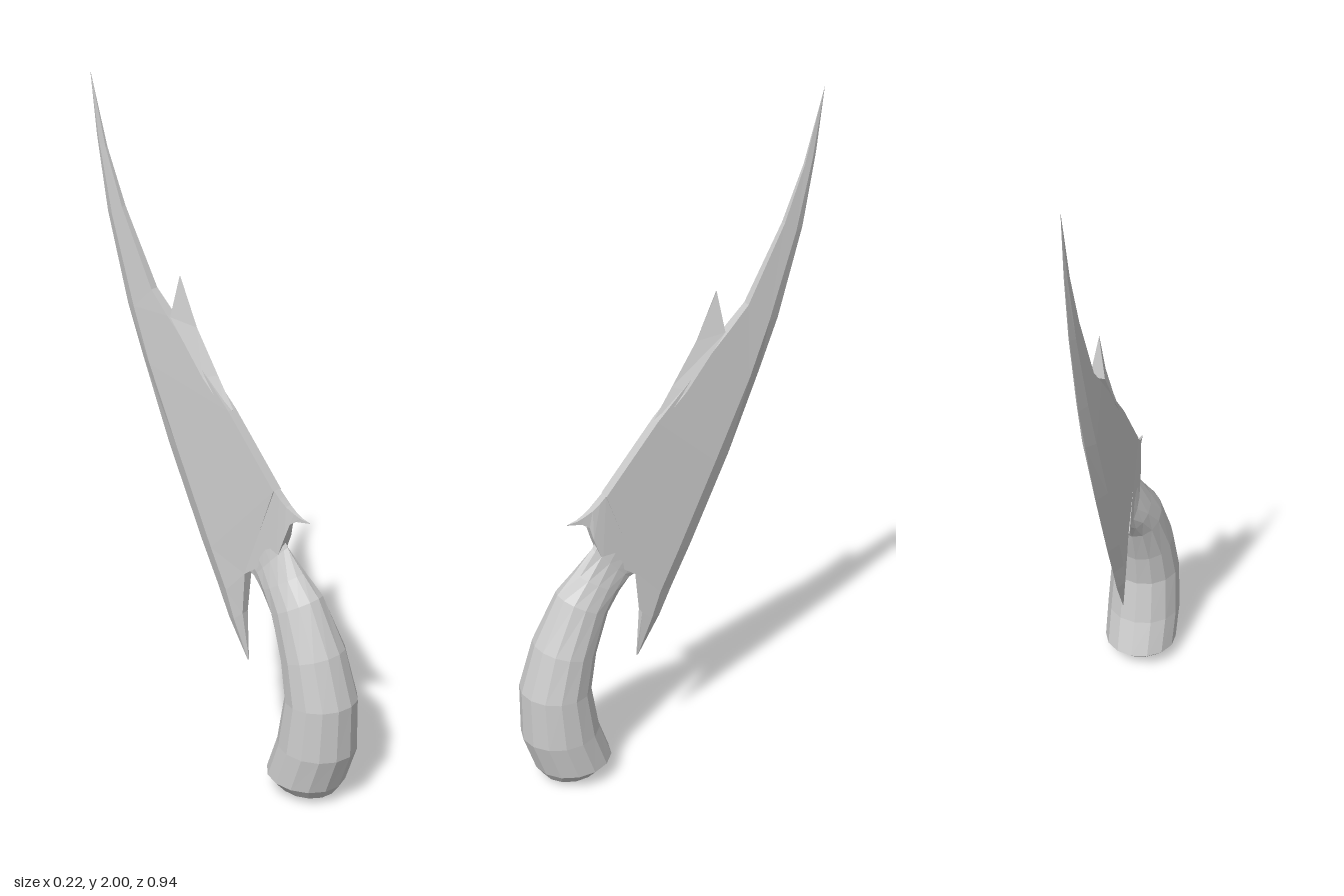
import * as THREE from 'three';

const material = new THREE.MeshStandardMaterial({ color: 0xcccccc, flatShading: true });

// Skin a list of equal-length closed sections, close both ends, face outwards.
function loft(name, sections) {
  const n = sections[0].length;
  const points = sections.flat();
  const faces = [];
  for (let s = 0; s < sections.length - 1; s++) {
    for (let i = 0; i < n; i++) {
      const a = s * n + i, b = s * n + (i + 1) % n;
      faces.push([a, b, b + n], [a, b + n, a + n]);
    }
  }
  const last = (sections.length - 1) * n;
  for (let i = 1; i < n - 1; i++) {
    faces.push([0, i + 1, i], [last, last + i, last + i + 1]);
  }
  // A negative enclosed volume means the winding runs inwards.
  let volume = 0;
  const cross = new THREE.Vector3();
  for (const [a, b, c] of faces) volume += points[a].dot(cross.crossVectors(points[b], points[c]));
  if (volume < 0) faces.forEach((f) => f.reverse());

  const geometry = new THREE.BufferGeometry().setFromPoints(points);
  geometry.setIndex(faces.flat());
  const flat = geometry.toNonIndexed();
  flat.computeVertexNormals();
  const mesh = new THREE.Mesh(flat, material);
  mesh.name = name;
  return mesh;
}

const P = (x, [z, y]) => new THREE.Vector3(x, y, z);

// Curved grip: oval rings spanning [front z,y] to [back z,y] with a half width.
function createGrip() {
  const rings = [
    [[0.365, 0.0], [0.29, 0.008], 0.04],
    [[0.41, 0.018], [0.235, 0.03], 0.085],
    [[0.433, 0.05], [0.2, 0.062], 0.112],
    [[0.47, 0.16], [0.237, 0.17], 0.114],
    [[0.47, 0.32], [0.26, 0.31], 0.106],
    [[0.425, 0.47], [0.242, 0.42], 0.094],
    [[0.35, 0.62], [0.2, 0.54], 0.07],
    [[0.295, 0.68], [0.16, 0.595], 0.048],
    [[0.24, 0.745], [0.125, 0.625], 0.024],
    [[0.21, 0.8], [0.1, 0.635], 0.016],
  ];
  const sides = 14;
  return loft('grip', rings.map(([front, back, w]) =>
    Array.from({ length: sides }, (_, i) => {
      const a = (i / sides) * Math.PI * 2;
      const t = (1 - Math.cos(a)) / 2;
      return P(w * Math.sin(a), [
        front[0] + (back[0] - front[0]) * t,
        front[1] + (back[1] - front[1]) * t,
      ]);
    })));
}

// Blade: [spine, bevel line, cutting edge, half thickness], tip to heel.
function createBlade() {
  const rows = [
    [[-0.465, 2.0], [-0.465, 2.0], [-0.465, 2.0], 0],
    [[-0.41, 1.79], [-0.432, 1.8], [-0.445, 1.82], 0.005],
    [[-0.35, 1.63], [-0.385, 1.6], [-0.41, 1.61], 0.01],
    [[-0.24, 1.41], [-0.305, 1.35], [-0.34, 1.35], 0.016],
    [[-0.18, 1.345], [-0.245, 1.19], [-0.285, 1.2], 0.02],
    [[0.04, 1.11], [-0.14, 0.95], [-0.19, 0.955], 0.021],
    [[0.2, 0.91], [-0.02, 0.68], [-0.07, 0.685], 0.021],
    [[0.1, 0.63], [0.035, 0.56], [-0.01, 0.56], 0.02],
    [[0.09, 0.5], [0.06, 0.475], [0.03, 0.47], 0.015],
    [[0.105, 0.35], [0.1, 0.35], [0.095, 0.358], 0],
  ];
  return loft('blade', rows.map(([spine, bevel, edge, w]) =>
    [P(w * 0.8, spine), P(w, bevel), P(0, edge), P(-w, bevel), P(-w * 0.8, spine)]));
}

// Guard: slab between blade and grip that narrows into a forward hook.
function createGuard() {
  const rows = [
    [[0.2, 0.91], [0.1, 0.63], 0.019],
    [[0.218, 0.892], [0.215, 0.71], 0.019],
    [[0.24, 0.872], [0.24, 0.78], 0.016],
    [[0.265, 0.856], [0.25, 0.82], 0.01],
    [[0.285, 0.846], [0.272, 0.834], 0.006],
    [[0.315, 0.84], [0.315, 0.838], 0],
  ];
  return loft('guard', rows.map(([top, bottom, w]) =>
    [P(w * 0.7, top), P(w, bottom), P(-w, bottom), P(-w * 0.7, top)]));
}

// Barb: ridge rising off the spine to a free point above a notch.
function createSpineBarb() {
  const rows = [
    [[0.045, 1.11], [0.03, 1.1], 0.014],
    [[-0.01, 1.2], [-0.05, 1.19], 0.02],
    [[-0.085, 1.325], [-0.165, 1.345], 0.021],
    [[-0.145, 1.465], [-0.147, 1.463], 0],
  ];
  return loft('spineBarb', rows.map(([ridge, base, w]) =>
    [P(0, ridge), P(w, base), P(-w, base)]));
}

export function createModel() {
  const model = new THREE.Group();
  model.name = 'curvedDagger';
  model.add(createGrip(), createBlade(), createGuard(), createSpineBarb());
  return model;
}
